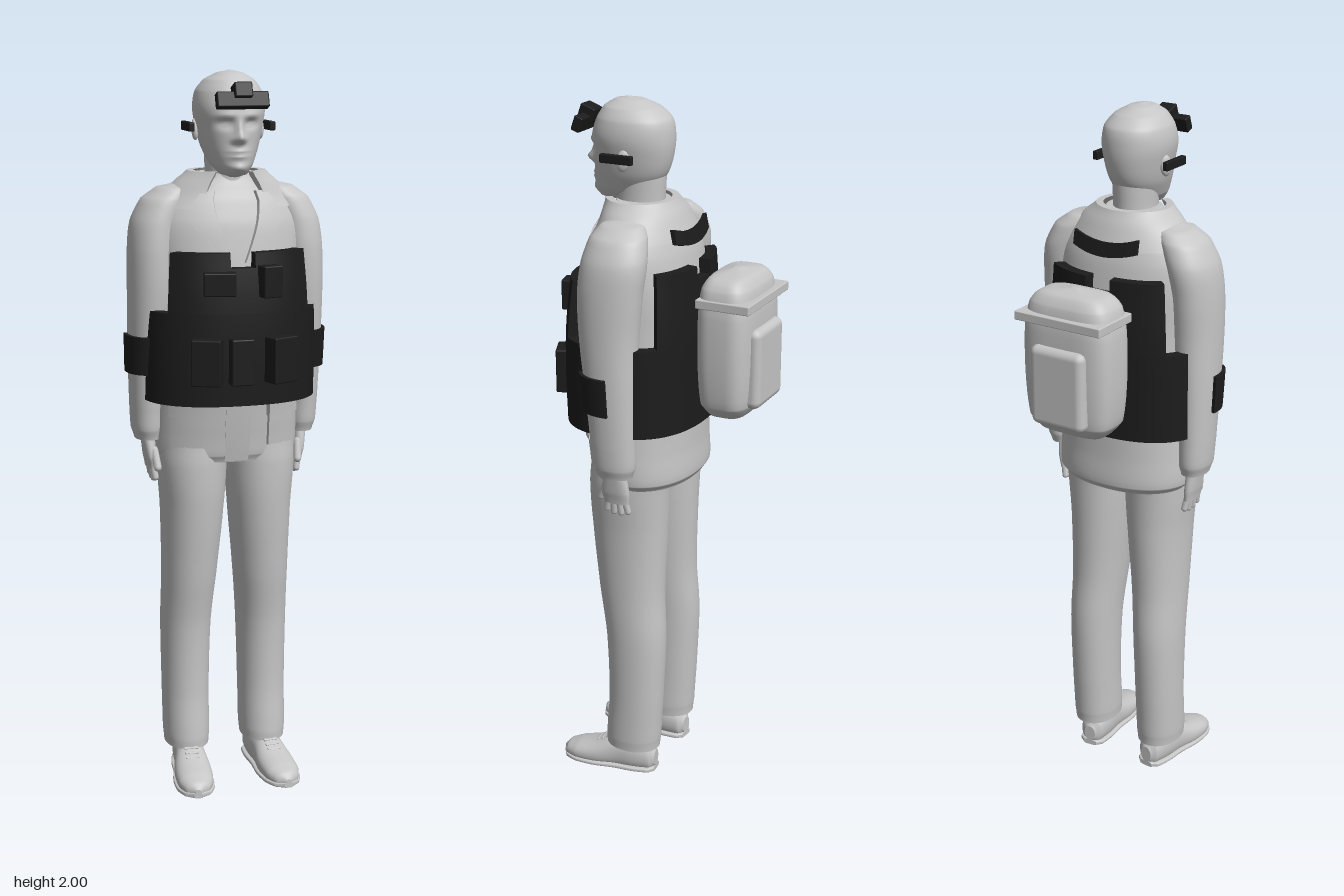
import * as THREE from 'three';
import { RoundedBoxGeometry } from 'three/addons/geometries/RoundedBoxGeometry.js';

const grey = new THREE.MeshStandardMaterial({ color: 0xc6c6c6 });
grey.name = 'light grey';
const black = new THREE.MeshStandardMaterial({ color: 0x1c1c1c });
black.name = 'black';

// Cross-sections are [y, centreX, centreZ, radiusX, radiusZ]
const TORSO = [
  [0.945, 0, 0.045, 0.19, 0.135], [0.965, 0, 0.043, 0.205, 0.146], [1.05, 0, 0.05, 0.205, 0.15],
  [1.2, 0, 0.06, 0.2, 0.16], [1.4, 0, 0.065, 0.2, 0.16], [1.52, 0, 0.063, 0.21, 0.148],
  [1.6, 0, 0.062, 0.205, 0.135], [1.66, 0, 0.06, 0.175, 0.115], [1.7, 0, 0.062, 0.12, 0.092], [1.73, 0, 0.07, 0.075, 0.07],
];
const VEST = [
  [1.1, 0, 0.07, 0.243, 0.192], [1.25, 0, 0.072, 0.243, 0.194],
  [1.4, 0, 0.07, 0.24, 0.192], [1.6, 0, 0.065, 0.225, 0.175],
];
const COLLAR = [
  [1.63, 0, 0.065, 0.19, 0.13], [1.67, 0, 0.062, 0.165, 0.112],
  [1.705, 0, 0.065, 0.135, 0.1], [1.735, 0, 0.072, 0.1, 0.09],
];
const ARM = [
  [1.7, 0.13, 0.06, 0.02, 0.03], [1.69, 0.145, 0.058, 0.045, 0.06], [1.66, 0.17, 0.057, 0.062, 0.08],
  [1.6, 0.196, 0.058, 0.066, 0.092], [1.52, 0.207, 0.065, 0.065, 0.092], [1.4, 0.21, 0.068, 0.064, 0.085],
  [1.25, 0.22, 0.06, 0.053, 0.074], [1.1, 0.223, 0.053, 0.046, 0.066], [1.03, 0.222, 0.05, 0.043, 0.062],
  [1.0, 0.22, 0.05, 0.036, 0.052],
].reverse();
const LEG = [
  [0.085, 0.114, 0.055, 0.063, 0.082], [0.12, 0.114, 0.053, 0.066, 0.084], [0.25, 0.114, 0.044, 0.067, 0.083],
  [0.45, 0.112, 0.043, 0.071, 0.09], [0.6, 0.105, 0.058, 0.077, 0.098], [0.8, 0.098, 0.066, 0.088, 0.112],
  [0.93, 0.098, 0.066, 0.097, 0.118], [1.0, 0.095, 0.06, 0.098, 0.12],
];
const HEAD = [
  [1.722, 0, 0.15, 0.012, 0.02], [1.73, 0, 0.143, 0.036, 0.052], [1.755, 0, 0.123, 0.056, 0.084],
  [1.8, 0, 0.105, 0.075, 0.103], [1.85, 0, 0.098, 0.087, 0.112], [1.9, 0, 0.097, 0.095, 0.115],
  [1.945, 0, 0.094, 0.088, 0.104], [1.975, 0, 0.1, 0.066, 0.078], [1.993, 0, 0.107, 0.034, 0.042], [2, 0, 0.11, 0.003, 0.003],
];
const PACK = [
  [1.168, 0, -0.215, 0.06, 0.03], [1.175, 0, -0.215, 0.1, 0.052], [1.21, 0, -0.215, 0.128, 0.073],
  [1.32, 0, -0.215, 0.138, 0.08], [1.46, 0, -0.215, 0.137, 0.08], [1.53, 0, -0.213, 0.124, 0.072],
  [1.56, 0, -0.212, 0.095, 0.052], [1.573, 0, -0.212, 0.01, 0.01],
];
const SHOE = [
  [-0.015, 0, -0.04, 0.018, 0.025], [0, 0, -0.045, 0.034, 0.045], [0.05, 0, -0.05, 0.043, 0.058],
  [0.11, 0, -0.046, 0.045, 0.056], [0.17, 0, -0.032, 0.053, 0.042], [0.23, 0, -0.025, 0.05, 0.031],
  [0.265, 0, -0.02, 0.034, 0.022], [0.28, 0, -0.018, 0.008, 0.008],
];

// Smooth section at height y
function sectionAt(secs, y) {
  let i = 0;
  while (i < secs.length - 2 && y > secs[i + 1][0]) i++;
  const t = (y - secs[i][0]) / (secs[i + 1][0] - secs[i][0]);
  const p = [i - 1, i, i + 1, i + 2].map((k) => secs[Math.min(Math.max(k, 0), secs.length - 1)]);
  return [1, 2, 3, 4].map((c) => {
    const [a, b, d, e] = p.map((s) => s[c]);
    return b + 0.5 * t * (d - a + t * (2 * a - 5 * b + 4 * d - e + t * (3 * (b - d) + e - a)));
  });
}
// Point on a lofted surface; angle 0 faces +z and grows towards +x
function surf(secs, y, a, n, off = 0) {
  const [cx, cz, rx, rz] = sectionAt(secs, y);
  const pw = (v) => Math.sign(v) * Math.abs(v) ** (2 / n);
  return [cx + (rx + off) * pw(Math.sin(a)), y, cz + (rz + off) * pw(Math.cos(a))];
}
// Closed body through a list of sections
function loft(secs, n = 2, seg = 40, sub = 5) {
  const pos = [], idx = [], ys = [];
  for (let i = 0; i < secs.length - 1; i++)
    for (let k = 0; k < sub; k++) ys.push(secs[i][0] + (secs[i + 1][0] - secs[i][0]) * k / sub);
  ys.push(secs[secs.length - 1][0]);
  for (const y of ys) for (let j = 0; j < seg; j++) pos.push(...surf(secs, y, j / seg * Math.PI * 2, n));
  for (let i = 0; i < ys.length - 1; i++) for (let j = 0; j < seg; j++) {
    const a = i * seg + j, b = i * seg + (j + 1) % seg;
    idx.push(a, b, b + seg, a, b + seg, a + seg);
  }
  for (const end of [0, ys.length - 1]) { // end caps
    const [cx, cz] = sectionAt(secs, ys[end]), base = pos.length / 3;
    for (let j = 0; j < seg; j++) pos.push(...pos.slice((end * seg + j) * 3, (end * seg + j) * 3 + 3));
    pos.push(cx, ys[end], cz);
    for (let j = 0; j < seg; j++) {
      const a = base + j, b = base + (j + 1) % seg;
      idx.push(...(end ? [a, b, base + seg] : [b, a, base + seg]));
    }
  }
  const g = new THREE.BufferGeometry();
  g.setAttribute('position', new THREE.Float32BufferAttribute(pos, 3));
  g.setIndex(idx);
  g.computeVertexNormals();
  return g;
}
// Move every vertex by a rule
function warp(g, rule) {
  const p = g.attributes.position;
  for (let i = 0; i < p.count; i++) p.setXYZ(i, ...rule(p.getX(i), p.getY(i), p.getZ(i)));
  g.computeVertexNormals();
  return g;
}
// Plate wrapped on a lofted surface; the angle limits may depend on height v (0..1)
function wrap(secs, n, a0, a1, y0, y1, inner, outer, seg = 24) {
  const f = (a, v) => (typeof a === 'function' ? a(v) : a);
  return warp(new THREE.BoxGeometry(1, 1, 1, seg, 8, 1), (x, y, z) => {
    const v = y + 0.5, b0 = f(a0, v), b1 = f(a1, v);
    return surf(secs, y0 + (y1 - y0) * v, b0 + (b1 - b0) * (x + 0.5), n, z > 0 ? outer : inner);
  });
}
function add(parent, name, geo, mat, p = [0, 0, 0], r = [0, 0, 0]) {
  const m = new THREE.Mesh(geo, mat);
  m.name = name;
  m.position.set(...p);
  m.rotation.set(...r);
  parent.add(m);
  return m;
}
const box = (w, h, d, r = 0.006) => new RoundedBoxGeometry(w, h, d, 2, r);

function makeHead() {
  const bump = (x, y, cx, cy, sx, sy) => Math.exp(-(((x - cx) / sx) ** 2) - ((y - cy) / sy) ** 2);
  return warp(loft(HEAD, 2.1, 96, 9), (x, y, z) => {
    if (z < 0.1) return [x, y, z];
    const ax = Math.abs(x);
    const d = 0.026 * bump(x, y, 0, 1.826, 0.013, 0.014) + 0.014 * bump(x, y, 0, 1.85, 0.01, 0.024) // nose
      + 0.006 * bump(ax, y, 0.015, 1.822, 0.008, 0.008) // nostrils
      - 0.012 * bump(ax, y, 0.034, 1.863, 0.02, 0.012) + 0.005 * bump(ax, y, 0.034, 1.861, 0.011, 0.005) // eyes
      + 0.005 * bump(ax, y, 0.034, 1.885, 0.025, 0.008) // brows
      + 0.012 * bump(x, y, 0, 1.785, 0.026, 0.015) - 0.007 * bump(x, y, 0, 1.785, 0.026, 0.003) // lips
      + 0.012 * bump(x, y, 0, 1.748, 0.025, 0.014); // chin
    return [x, y, z + d];
  });
}

// Parts that exist on both sides, made for the left
function makeSide(name) {
  const s = new THREE.Group();
  s.name = name;
  add(s, 'sleeve', loft(ARM, 2.1), grey);
  add(s, 'armBand', wrap(ARM, 2.1, -0.1, 1.75, 1.19, 1.295, -0.005, 0.01), black);
  add(s, 'trouserLeg', loft(LEG, 2.1), grey);
  add(s, 'palm', loft([[0.915, 0.212, 0.05, 0.013, 0.038], [0.95, 0.215, 0.052, 0.017, 0.042], [1.02, 0.22, 0.05, 0.02, 0.03]], 2.3), grey);
  for (let i = 0; i < 4; i++)
    add(s, 'finger', new THREE.CapsuleGeometry(0.0095, 0.045 - 0.006 * Math.abs(i - 1.5), 4, 10), grey,
      [0.208, 0.903 + 0.003 * Math.abs(i - 1.5), 0.022 + i * 0.0195], [-0.12 * (i - 1.5), 0, -0.15]);
  add(s, 'thumb', new THREE.CapsuleGeometry(0.011, 0.05, 4, 10), grey, [0.205, 0.945, 0.093], [-0.4, 0, -0.1]);
  add(s, 'ear', new THREE.SphereGeometry(1, 16, 12).scale(0.01, 0.03, 0.018), grey, [0.089, 1.845, 0.085], [-0.15, 0.3, 0]);
  add(s, 'earPiece', box(0.016, 0.024, 0.095, 0.003), black, [0.111, 1.853, 0.093]);
  // shoe with sole and laces
  const shoe = new THREE.Group();
  shoe.name = 'shoe';
  shoe.position.set(0.105, 0, 0);
  shoe.rotation.y = 0.1;
  s.add(shoe);
  add(shoe, 'upper', warp(loft(SHOE, 2.2).rotateX(Math.PI / 2), (x, y, z) => [x, Math.max(y, 0.004), z]), grey);
  add(shoe, 'sole', loft(SHOE.map(([z, , , rx]) => [z, 0, -0.008, rx + 0.004, 0.008]), 4).rotateX(Math.PI / 2), grey);
  for (let i = 0; i < 3; i++)
    add(shoe, 'lace', box(0.04, 0.006, 0.008, 0.002), grey, [0, 0.089 - i * 0.008, 0.137 + i * 0.015], [0.5, 0, 0]);
  // jacket lapel and pocket
  add(s, 'lapel', wrap(TORSO, 2.2, (v) => 0.05 + 0.3 * v, (v) => (v < 0.7 ? 0.1 + 0.85 * v : 0.6), 1.5, 1.685, -0.01, 0.012, 8), grey);
  add(s, 'pocket', wrap(TORSO, 2.2, 0.4, 0.95, 0.99, 1.1, -0.004, 0.008), grey);
  add(s, 'pocketFlap', wrap(TORSO, 2.2, 0.38, 0.97, 1.075, 1.115, -0.004, 0.014), grey);
  // vest corners beside the neck notches
  add(s, 'vestFrontCorner', wrap(VEST, 2.4, 0.1, 0.88, 1.49, 1.53, -0.03, 0), black);
  add(s, 'vestBackCorner', wrap(VEST, 2.4, Math.PI - 0.85, Math.PI - 0.12, 1.53, 1.57, -0.03, 0), black);
  return s;
}

export function createModel() {
  const model = new THREE.Group();
  model.name = 'figure';

  add(model, 'head', makeHead(), grey);
  add(model, 'neck', loft([[1.6, 0, 0.07, 0.08, 0.08], [1.7, 0, 0.078, 0.06, 0.07], [1.8, 0, 0.075, 0.06, 0.07]]), grey);
  add(model, 'jacket', loft(TORSO, 2.2, 56), grey);
  add(model, 'collar', wrap(COLLAR, 2, 0.5, Math.PI * 2 - 0.5, 1.64, 1.735, -0.012, 0.008, 48), grey);
  add(model, 'jacketPlacket', wrap(TORSO, 2.2, -0.14, 0.14, 0.95, 1.5, -0.004, 0.006, 8), grey);

  const left = makeSide('leftSide'), right = makeSide('rightSide');
  right.scale.x = -1;
  model.add(left, right);

  // vest
  add(model, 'vestBelt', wrap(VEST, 2.4, -Math.PI, Math.PI, 1.12, 1.37, -0.03, 0, 72), black);
  add(model, 'vestFront', wrap(VEST, 2.4, -0.88, 0.88, 1.37, 1.49, -0.03, 0), black);
  add(model, 'vestBack', wrap(VEST, 2.4, Math.PI - 0.85, Math.PI + 0.85, 1.37, 1.53, -0.03, 0), black);
  for (const [x, y, z, w, h, ry] of [
    [-0.102, 1.245, 0.265, 0.08, 0.125, -0.42], [-0.012, 1.245, 0.275, 0.062, 0.125, 0], [0.102, 1.245, 0.265, 0.08, 0.125, 0.42],
    [-0.066, 1.452, 0.258, 0.086, 0.062, -0.22], [0.07, 1.455, 0.257, 0.056, 0.085, 0.25],
  ]) add(model, 'pouch', box(w, h, 0.05, 0.004), black, [x, y, z], [0, ry, 0]);

  // curved carrying strap on the upper back
  add(model, 'dragStrap', warp(new THREE.BoxGeometry(0.2, 0.04, 0.012, 16, 1, 1), (x, y, z) => [x, y + 2 * x * x, z + 0.9 * x * x]),
    black, [0, 1.642, -0.082], [0.2, 0, 0]);

  // head lamp
  const lamp = new THREE.Group();
  lamp.name = 'headLamp';
  lamp.position.set(0, 1.925, 0.235);
  lamp.rotation.x = -0.35;
  model.add(lamp);
  add(lamp, 'lampBar', box(0.14, 0.042, 0.026, 0.004), black);
  add(lamp, 'lampBody', box(0.048, 0.04, 0.045, 0.004), black, [0, 0.022, 0.004]);

  // backpack
  const pack = new THREE.Group();
  pack.name = 'backpack';
  model.add(pack);
  add(pack, 'packBody', loft(PACK, 3.6, 56), grey);
  add(pack, 'packRim', box(0.27, 0.025, 0.155, 0.003), grey, [0, 1.497, -0.227]);
  add(pack, 'packPocket', box(0.17, 0.225, 0.05, 0.022), grey, [0, 1.315, -0.291]);
  return model;
}
